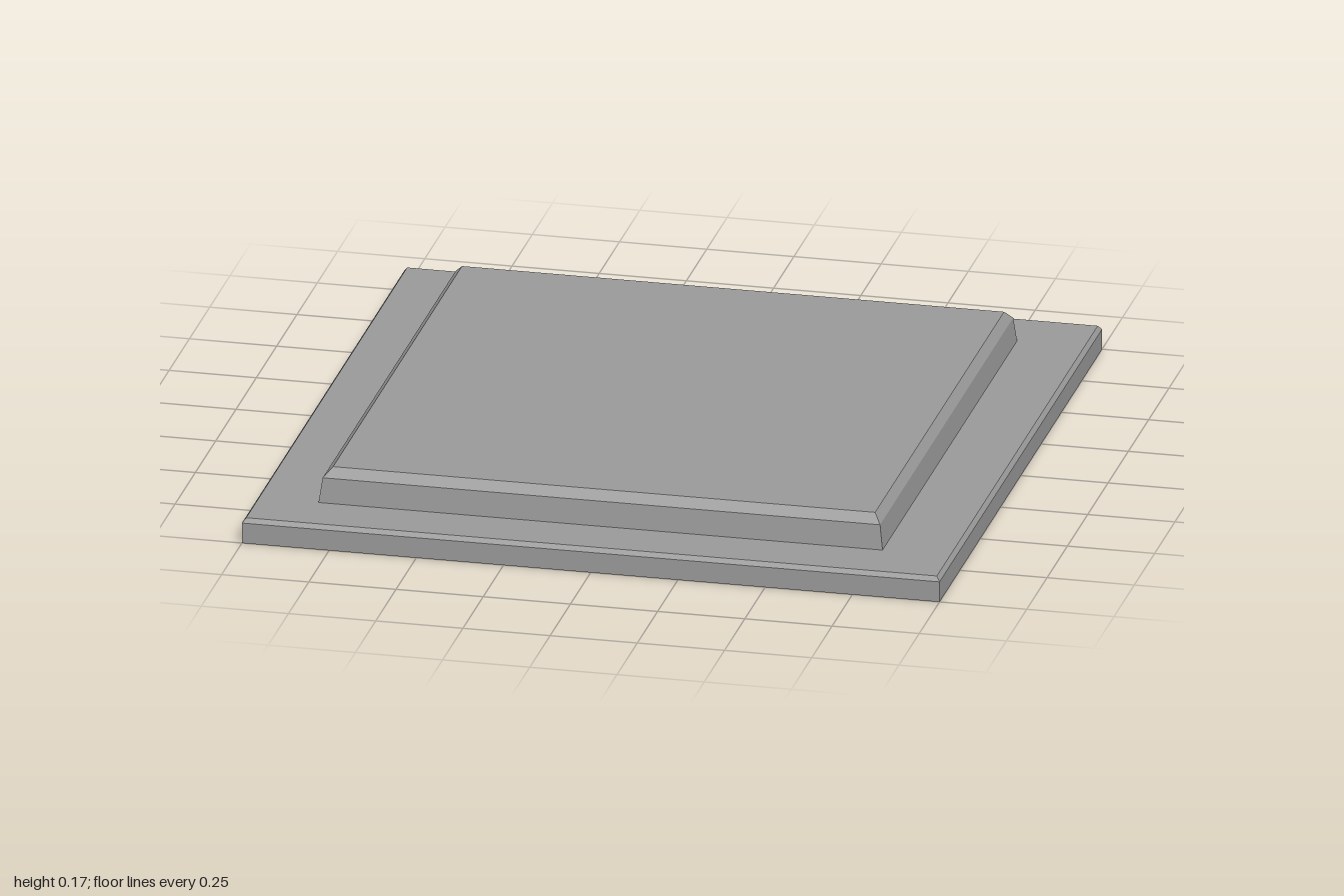
import * as THREE from 'three';

// Rectangular cross-section: [x0, x1, z0, z1, y], corners counter-clockwise from above
const corners = ([x0, x1, z0, z1, y]) => [[x0, y, z1], [x1, y, z1], [x1, y, z0], [x0, y, z0]];

// Skins consecutive cross-sections with flat faces; optional caps close the ends
function loft(sections, capStart, capEnd) {
  const pos = [];
  const quad = (a, b, c, d) => pos.push(...a, ...b, ...c, ...a, ...c, ...d);
  const rings = sections.map(corners);
  for (let s = 0; s < rings.length - 1; s++) {
    const a = rings[s], b = rings[s + 1];
    for (let i = 0; i < 4; i++) {
      const j = (i + 1) % 4;
      quad(a[i], a[j], b[j], b[i]);
    }
  }
  if (capStart) quad(...[...rings[0]].reverse());
  if (capEnd) quad(...rings[rings.length - 1]);
  const geo = new THREE.BufferGeometry();
  geo.setAttribute('position', new THREE.Float32BufferAttribute(pos, 3));
  geo.computeVertexNormals();
  return geo;
}

export function createModel() {
  const group = new THREE.Group();
  const grey = new THREE.MeshStandardMaterial({ color: 0x999999 });
  grey.name = 'grey';

  const add = (name, geo) => {
    const mesh = new THREE.Mesh(geo, grey);
    mesh.name = name;
    group.add(mesh);
  };

  // Footprint of the raised panel, slightly off centre
  const foot = [-0.82, 0.797, -0.825, 0.83];

  // Chamfered square slab with a shallow recess underneath
  add('baseSlab', loft([
    [...foot, 0.052],
    [...foot, 0],
    [-1, 1, -1, 1, 0],
    [-1, 1, -1, 1, 0.06],
    [-0.99, 0.99, -0.99, 0.99, 0.073],
    [...foot, 0.073],
  ], true, false));

  // Raised panel with drafted sides and a bevelled top edge
  add('raisedPanel', loft([
    [...foot, 0.073],
    [-0.81, 0.788, -0.816, 0.822, 0.145],
    [-0.786, 0.768, -0.79, 0.797, 0.171],
  ], false, true));

  return group;
}
